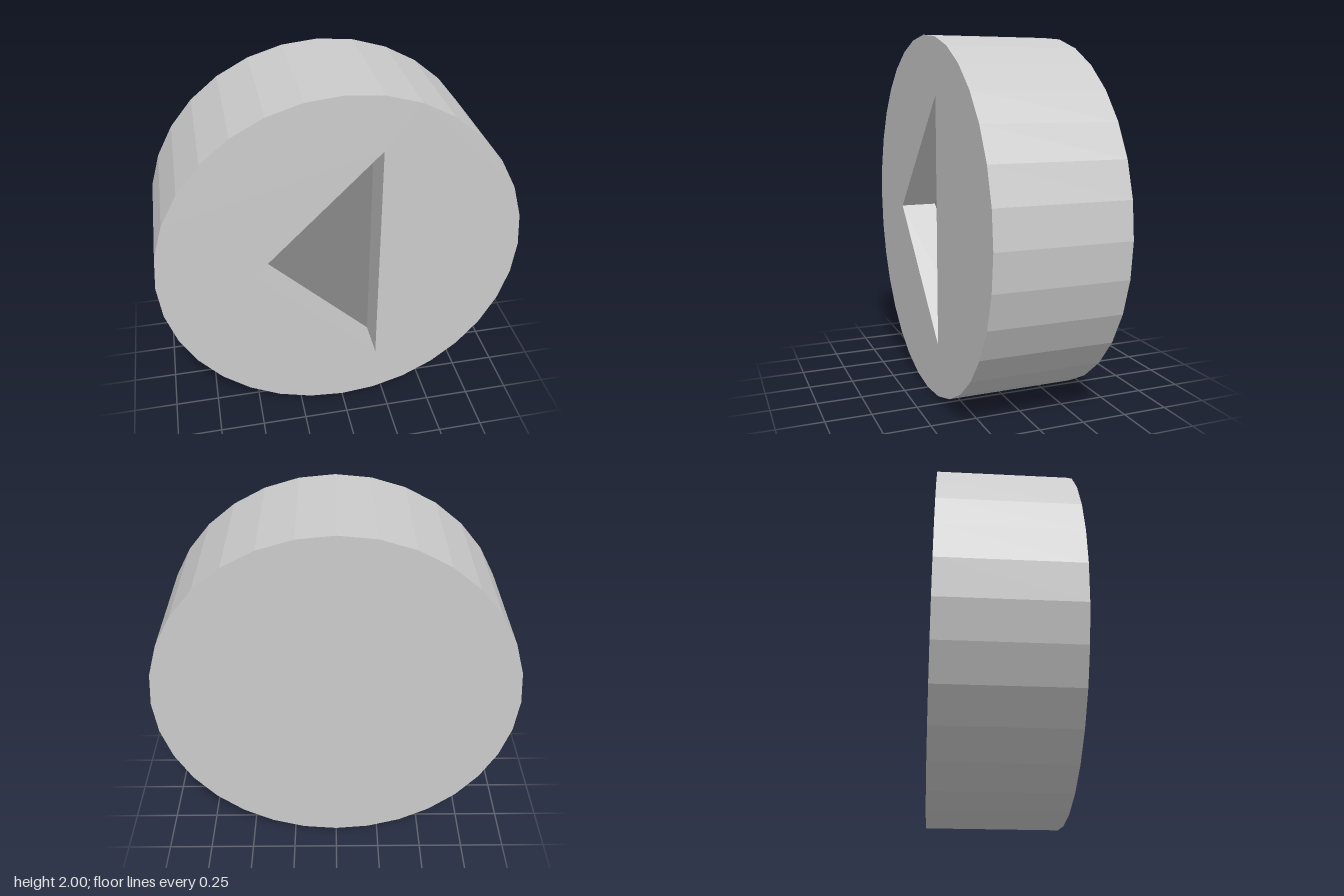
import * as THREE from 'three';

const SIDES = 32;
const HALF_DEPTH = 0.36;
const FLOOR_Z = 0.15;

export function createModel() {
  const group = new THREE.Group();
  const grey = new THREE.MeshStandardMaterial({ color: 0xcccccc, flatShading: true });
  const dark = new THREE.MeshStandardMaterial({ color: 0x888888, flatShading: true });

  const add = (name, geometry, material = grey) => {
    const mesh = new THREE.Mesh(geometry, material);
    mesh.name = name;
    group.add(mesh);
    return mesh;
  };

  // Triangle outline, counter-clockwise from the front, relative to the disc centre
  const triangle = [[-0.48, 0], [0.2, -0.68], [0.2, 0.68]].map(([x, y]) => new THREE.Vector2(x, y));

  // Faceted rim
  add('rim', new THREE.CylinderGeometry(1, 1, 2 * HALF_DEPTH, SIDES, 1, true).rotateX(Math.PI / 2));

  // Flat back
  add('backFace', new THREE.CircleGeometry(1, SIDES).rotateY(Math.PI).translate(0, 0, -HALF_DEPTH));

  // Front face with a triangular opening
  const outline = [];
  for (let i = 0; i < SIDES; i++) {
    const a = (i / SIDES) * Math.PI * 2;
    outline.push(new THREE.Vector2(Math.cos(a), Math.sin(a)));
  }
  const face = new THREE.Shape(outline);
  face.holes.push(new THREE.Path(triangle));
  add('frontFace', new THREE.ShapeGeometry(face).translate(0, 0, HALF_DEPTH));

  // Recess walls, facing inwards
  const points = [];
  triangle.forEach((a, i) => {
    const b = triangle[(i + 1) % triangle.length];
    const [a0, a1, b0, b1] = [[a, FLOOR_Z], [a, HALF_DEPTH], [b, FLOOR_Z], [b, HALF_DEPTH]]
      .map(([p, z]) => new THREE.Vector3(p.x, p.y, z));
    points.push(a0, a1, b0, b0, a1, b1);
  });
  const walls = new THREE.BufferGeometry().setFromPoints(points);
  walls.computeVertexNormals();
  add('recessWalls', walls);

  // Darker recess floor
  add('recessFloor', new THREE.ShapeGeometry(new THREE.Shape(triangle)).translate(0, 0, FLOOR_Z), dark);

  // Stand the disc on the ground
  group.children.forEach((mesh) => { mesh.position.y = 1; });
  return group;
}
